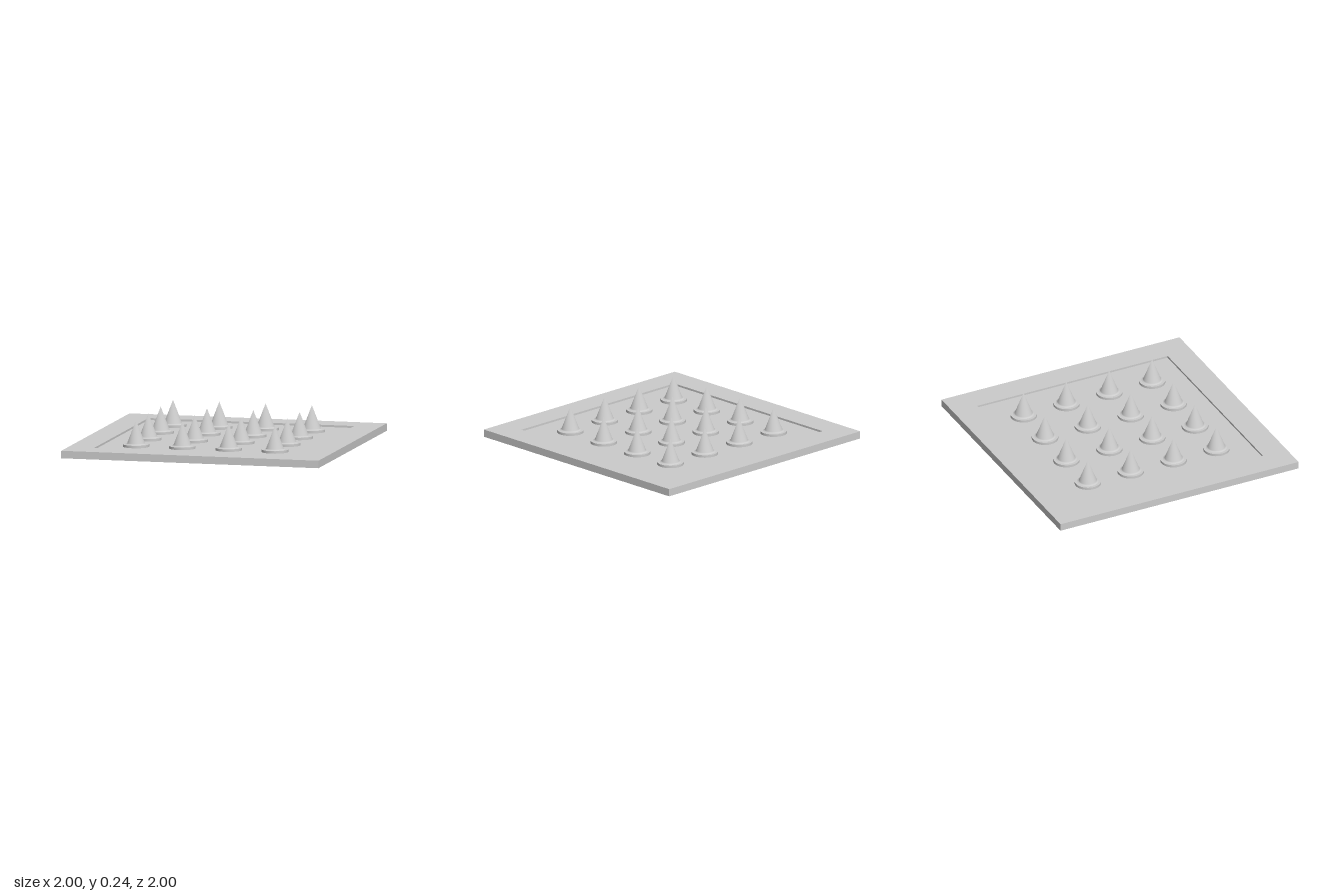
import * as THREE from 'three';
import { mergeVertices } from 'three/addons/utils/BufferGeometryUtils.js';

const FLOOR = 0.042, RIM = 0.057, FLANGE = 0.061, TIP = 0.243;

function square(half, Type) {
  const h = half;
  return new Type([[-h, -h], [h, -h], [h, h], [-h, h]].map(([x, y]) => new THREE.Vector2(x, y)));
}

// Lathe with normals averaged over the whole surface, including the pole
function smoothLathe(points, segments) {
  const g = new THREE.LatheGeometry(points.map(([r, y]) => new THREE.Vector2(r, y)), segments);
  g.deleteAttribute('normal');
  g.deleteAttribute('uv');
  const merged = mergeVertices(g, 1e-5);
  merged.computeVertexNormals();
  return merged;
}

export function createModel() {
  const model = new THREE.Group();
  const material = new THREE.MeshStandardMaterial({ color: 0xcccccc });
  const add = (parent, name, geometry) => {
    const mesh = new THREE.Mesh(geometry, material);
    mesh.name = name;
    parent.add(mesh);
    return mesh;
  };

  // Base slab, whose top is the recessed floor
  add(model, 'baseSlab', new THREE.BoxGeometry(2, FLOOR, 2)).position.y = FLOOR / 2;

  // Raised border around the recess
  const border = square(1, THREE.Shape);
  border.holes.push(square(0.8, THREE.Path));
  const borderGeometry = new THREE.ExtrudeGeometry(border, { depth: RIM - FLOOR, bevelEnabled: false });
  borderGeometry.rotateX(-Math.PI / 2);
  add(model, 'raisedBorder', borderGeometry).position.y = FLOOR;

  // Spike and the round flange it stands on
  const flangeGeometry = new THREE.CylinderGeometry(0.1, 0.1, FLANGE - FLOOR, 48);
  const spikeGeometry = smoothLathe(
    [[0.086, FLANGE - 0.002], [0.071, FLANGE + 0.003], [0.066, FLANGE + 0.009], [0, TIP]], 40);

  // Four by four grid of spikes
  for (let row = 0; row < 4; row++) {
    for (let col = 0; col < 4; col++) {
      const stud = new THREE.Group();
      stud.name = `stud${row + 1}_${col + 1}`;
      stud.position.set((col - 1.5) * 0.36, 0, (row - 1.5) * 0.36);
      add(stud, 'flange', flangeGeometry).position.y = (FLOOR + FLANGE) / 2;
      add(stud, 'spike', spikeGeometry);
      model.add(stud);
    }
  }
  return model;
}
